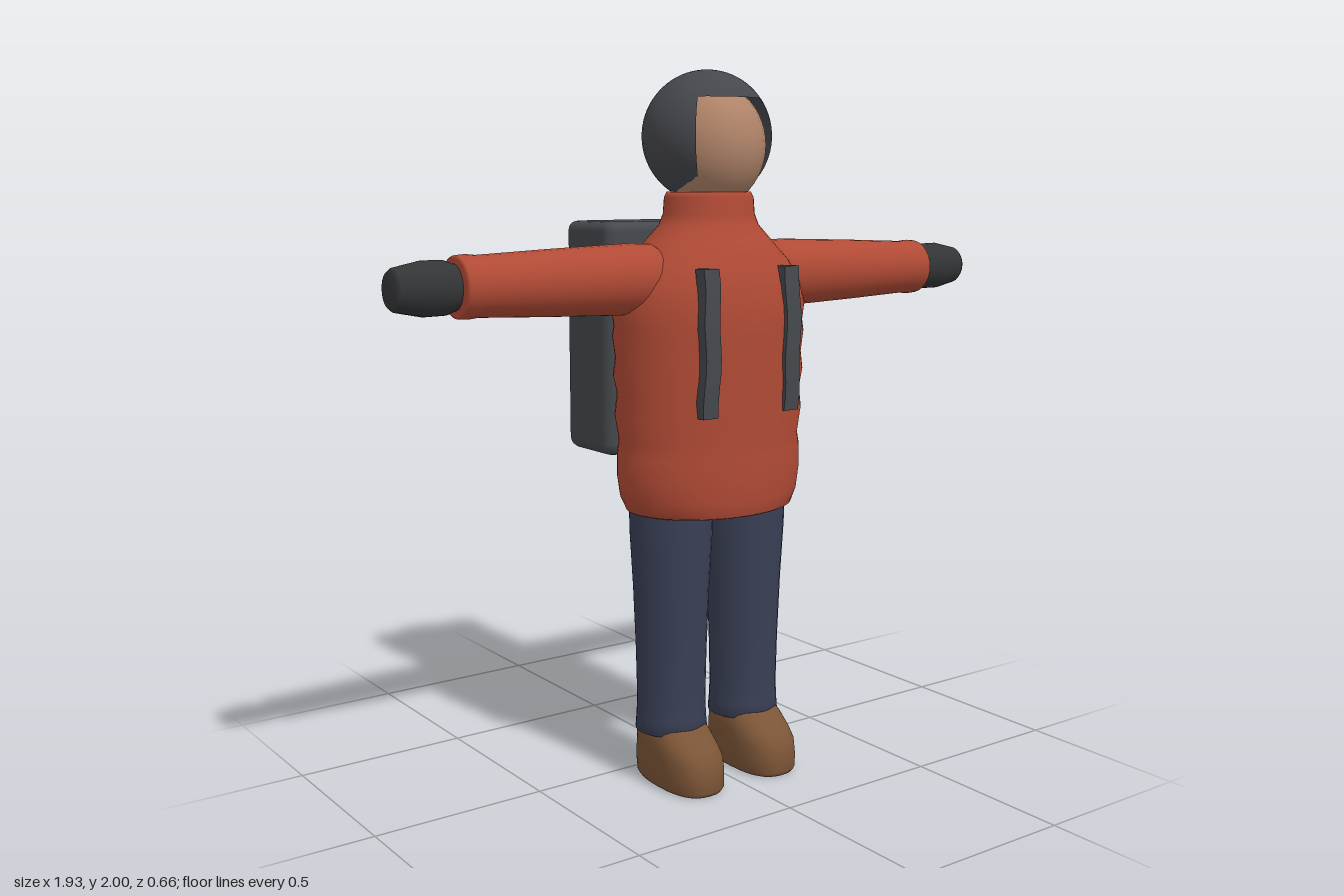
import * as THREE from 'three';
import { RoundedBoxGeometry } from 'three/addons/geometries/RoundedBoxGeometry.js';

const mat = (color) => new THREE.MeshStandardMaterial({ color });
const M = {
  jacket: mat(0xb04a35), trousers: mat(0x393f55), boot: mat(0x7a5436), hood: mat(0x46474d),
  glove: mat(0x343537), pack: mat(0x45494d), skin: mat(0xb08469), band: mat(0xb06a20),
};
M.hood.side = M.trousers.side = THREE.DoubleSide;

const CZ = 0.12; // depth of the body's axis

function mesh(name, geometry, material, x = 0, y = 0, z = 0) {
  const m = new THREE.Mesh(geometry, material);
  m.name = name;
  m.position.set(x, y, z);
  return m;
}

// Skin over stacked superellipse sections [y, halfWidth, halfDepth, centreZ]
function loft(sections, power = 2, n = 32) {
  const pos = [], index = [];
  const bend = (v) => Math.sign(v) * Math.abs(v) ** (2 / power);
  sections.forEach(([y, rx, rz, cz]) => {
    for (let j = 0; j < n; j++) {
      const a = (j / n) * Math.PI * 2;
      pos.push(bend(Math.cos(a)) * rx, y, cz + bend(Math.sin(a)) * rz);
    }
  });
  for (let i = 0; i < sections.length - 1; i++) {
    for (let j = 0; j < n; j++) {
      const a = i * n + j, b = i * n + ((j + 1) % n);
      index.push(a, a + n, b, b, a + n, b + n);
    }
  }
  const g = new THREE.BufferGeometry();
  g.setAttribute('position', new THREE.Float32BufferAttribute(pos, 3));
  g.setIndex(index);
  g.computeVertexNormals();
  return g;
}

// Lathe from [radius, height] pairs
const lathe = (pts, n = 24) =>
  new THREE.LatheGeometry(pts.map(([r, y]) => new THREE.Vector2(r, y)), n);

export function createModel() {
  const model = new THREE.Group();
  model.name = 'hiker';

  // Quilted jacket with a standing collar
  const torso = [
    [0.785, 0, 0, 0.125], [0.785, 0.24, 0.185, 0.125], [0.79, 0.255, 0.193, 0.126],
    [0.83, 0.276, 0.198, 0.126], [0.89, 0.286, 0.201, 0.126], [0.95, 0.286, 0.2, 0.126],
    [0.99, 0.278, 0.2, 0.125], [1.06, 0.292, 0.203, 0.125], [1.12, 0.283, 0.203, 0.125],
    [1.17, 0.296, 0.205, 0.125], [1.22, 0.288, 0.205, 0.125], [1.28, 0.298, 0.206, 0.125],
    [1.31, 0.292, 0.206, 0.125], [1.36, 0.302, 0.205, 0.124], [1.42, 0.285, 0.198, 0.122],
    [1.48, 0.245, 0.182, 0.121], [1.54, 0.185, 0.152, CZ], [1.58, 0.143, 0.131, CZ],
    [1.61, 0.13, 0.123, CZ], [1.655, 0.126, 0.121, CZ], [1.67, 0.118, 0.113, CZ], [1.67, 0, 0, CZ],
  ];
  model.add(mesh('jacketBody', loft(torso, 2, 40), M.jacket));

  // Head: face set in an open hood
  const face = new THREE.SphereGeometry(1, 32, 24).scale(0.15, 0.17, 0.16);
  model.add(mesh('face', face, M.skin, 0, 1.795, 0.125));
  const hood = new THREE.Group();
  hood.name = 'hood';
  const deg = Math.PI / 180, gap = 46, brow = 56;
  hood.add(
    mesh('hoodCrown', new THREE.SphereGeometry(0.18, 40, 12, 0, Math.PI * 2, 0, brow * deg), M.hood),
    mesh('hoodSides', new THREE.SphereGeometry(0.18, 32, 20, (90 + gap) * deg, (360 - 2 * gap) * deg,
      brow * deg, (160 - brow) * deg), M.hood),
  );
  hood.position.set(0, 1.82, 0.11);
  model.add(hood);

  // Paired parts
  const sleeve = [[0, 0.16], [0.075, 0.17], [0.096, 0.21], [0.097, 0.26], [0.093, 0.38], [0.088, 0.52],
    [0.082, 0.66], [0.079, 0.73], [0.082, 0.76], [0.08, 0.785], [0.074, 0.792], [0, 0.792]];
  const glove = [[0, 0.77], [0.058, 0.77], [0.06, 0.795], [0.069, 0.82], [0.07, 0.88],
    [0.063, 0.915], [0.055, 0.955], [0.046, 0.966], [0, 0.967]];
  const leg = [[0.09, 0.16], [0.103, 0.152], [0.1, 0.19], [0.098, 0.24], [0.101, 0.38],
    [0.108, 0.56], [0.117, 0.72], [0.12, 0.86]];
  const boot = [
    [0, 0, 0, 0.165], [0, 0.08, 0.145, 0.165], [0.012, 0.088, 0.154, 0.164], [0.05, 0.091, 0.155, 0.162],
    [0.09, 0.091, 0.15, 0.16], [0.12, 0.09, 0.134, 0.148], [0.15, 0.087, 0.112, 0.131],
    [0.175, 0.078, 0.09, 0.12], [0.19, 0.055, 0.065, CZ], [0.193, 0, 0, CZ],
  ];
  for (const [side, s] of [['left', 1], ['right', -1]]) {
    const arm = new THREE.Group();
    arm.name = side + 'Arm';
    const hand = lathe(glove).scale(1, 1, 0.9);
    arm.add(mesh(side + 'Sleeve', lathe(sleeve, 28), M.jacket), mesh(side + 'Glove', hand, M.glove));
    arm.rotation.z = -s * Math.PI / 2;
    arm.position.set(0, 1.438, CZ);
    model.add(arm);

    model.add(mesh(side + 'TrouserLeg', lathe(leg, 28), M.trousers, s * 0.13, 0, CZ));
    model.add(mesh(side + 'Boot', loft(boot, 2.6), M.boot, s * 0.13, 0, 0));

    // Chest strap, bowed to follow the jacket front
    const strap = new THREE.BoxGeometry(0.05, 0.4, 0.04, 1, 10, 1);
    const p = strap.attributes.position;
    for (let i = 0; i < p.count; i++) {
      const y = p.getY(i);
      p.setZ(i, p.getZ(i) - 0.25 * y * y);
      p.setX(i, p.getX(i) + s * 0.003 * Math.sin(y * 30));
    }
    strap.computeVertexNormals();
    model.add(mesh(side + 'ChestStrap', strap, M.pack, s * 0.138, 1.27, 0.308));
  }

  // Backpack
  const pack = new THREE.Group();
  pack.name = 'backpack';
  pack.add(
    mesh('packBody', new RoundedBoxGeometry(0.405, 0.58, 0.235, 2, 0.035), M.pack, 0, 1.2, -0.203),
    mesh('packLid', new RoundedBoxGeometry(0.412, 0.1, 0.23, 2, 0.028), M.pack, 0, 1.535, -0.193),
    mesh('packBand', new THREE.BoxGeometry(0.32, 0.045, 0.016), M.band, 0, 1.165, -0.322),
  );
  model.add(pack);
  return model;
}
